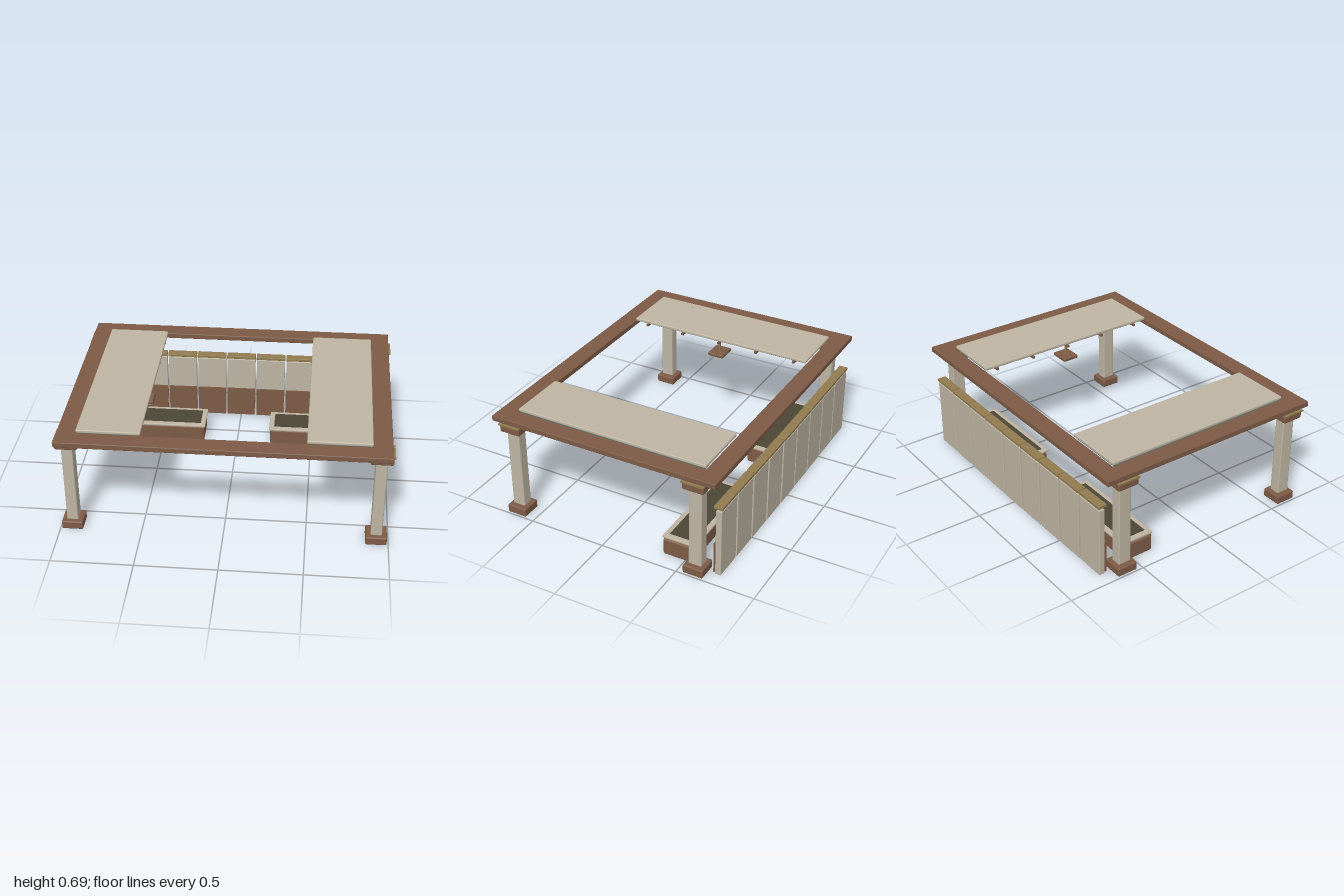
import * as THREE from 'three';
import { RoundedBoxGeometry } from 'three/addons/geometries/RoundedBoxGeometry.js';

function material(name, color) {
  const m = new THREE.MeshStandardMaterial({ color });
  m.name = name;
  return m;
}

export function createModel() {
  const wood = material('brown wood', 0x7d5b46);
  const stone = material('pale stone', 0xbeb5a2);
  const brass = material('dull brass', 0x917b50);
  const soil = material('dark soil', 0x4d4635);
  const teal = material('teal lining', 0x44706a);

  const model = new THREE.Group();
  model.name = 'pergola';

  // Box given by its low and high limits; a bevel rounds the edges
  function block(parent, name, mat, [x0, x1], [y0, y1], [z0, z1], bevel = 0) {
    const w = x1 - x0, h = y1 - y0, d = z1 - z0;
    const geo = bevel ? new RoundedBoxGeometry(w, h, d, 2, bevel) : new THREE.BoxGeometry(w, h, d);
    const mesh = new THREE.Mesh(geo, mat);
    mesh.name = name;
    mesh.position.set((x0 + x1) / 2, (y0 + y1) / 2, (z0 + z1) / 2);
    parent.add(mesh);
    return mesh;
  }
  function group(name) {
    const g = new THREE.Group();
    g.name = name;
    model.add(g);
    return g;
  }
  const span = (c, half) => [c - half, c + half];
  // Mirrors an x range to the right side when s is -1
  const side = (s, a, b) => (s > 0 ? [a, b] : [-b, -a]);

  // Roof frame
  const frame = group('roofFrame');
  block(frame, 'frontBeam', wood, [-0.985, 0.985], [0.645, 0.68], [0.635, 0.75], 0.005);
  block(frame, 'backBeam', wood, [-0.985, 0.985], [0.645, 0.68], [-0.738, -0.623], 0.005);
  for (const s of [1, -1])
    block(frame, 'sideBeam', wood, side(s, 0.87, 0.985), [0.645, 0.68], [-0.735, 0.747], 0.005);

  // Corner columns with foot, capital and brass plate
  for (const s of [1, -1]) {
    for (const z of [0.624, -0.602]) {
      const column = group('column');
      block(column, 'foot', wood, side(s, 0.86, 0.99), [0.005, 0.06], span(z, 0.065), 0.009);
      block(column, 'shaft', stone, side(s, 0.89, 0.96), [0.06, 0.59], span(z, 0.042), 0.008);
      block(column, 'capital', wood, side(s, 0.858, 0.992), [0.59, 0.637], span(z, 0.068), 0.009);
      block(column, 'capPlate', brass, side(s, 0.855, 1), [0.637, 0.646], span(z, 0.072));
    }
  }

  for (const s of [1, -1]) {
    // Roof slab with lining and battens beneath
    const roof = group('roofPanel');
    block(roof, 'slab', stone, side(s, 0.487, 0.87), [0.678, 0.7], [-0.62, 0.637], 0.007);
    block(roof, 'lining', teal, side(s, 0.51, 0.87), [0.669, 0.677], [-0.61, 0.625]);
    for (let i = 0; i < 5; i++)
      block(roof, 'batten', wood, side(s, 0.492, 0.87), [0.655, 0.67], span(-0.53 + i * 0.27, 0.008));

    // Hanging lamp
    const lamp = group('lamp');
    const x = 0.557 * s, z = 0.03;
    const rod = new THREE.Mesh(new THREE.CylinderGeometry(0.008, 0.008, 0.11, 12), brass);
    rod.name = 'rod';
    rod.position.set(x, 0.625, z);
    lamp.add(rod);
    block(lamp, 'shade', wood, span(x, 0.064), [0.553, 0.576], span(z, 0.055), 0.007);
    block(lamp, 'diffuser', stone, span(x, 0.05), [0.546, 0.555], span(z, 0.043));

    // Planter box with rim and soil
    const planter = group('planter');
    block(planter, 'box', wood, side(s, 0.225, 0.892), [0.005, 0.116], [-0.552, -0.354], 0.012);
    block(planter, 'rim', stone, side(s, 0.217, 0.885), [0.115, 0.131], [-0.566, -0.346], 0.005);
    block(planter, 'soil', soil, side(s, 0.25, 0.85), [0.13, 0.136], [-0.533, -0.38]);
  }

  // Back wall of nine separate panels
  const wall = group('backWall');
  for (let i = -4; i <= 4; i++) {
    const x = i * 0.2035;
    const bow = -0.0015 * (4 - Math.abs(i));
    block(wall, 'wallPanel', stone, span(x, 0.0965), [0.005, 0.45], [-0.745 + bow, -0.707 + bow], 0.004);
    block(wall, 'wainscot', wood, span(x, 0.0955), [0.015, 0.222], [-0.71 + bow, -0.696 + bow]);
    block(wall, 'wallCap', brass, span(x, 0.098), [0.461, 0.48], [-0.75 + bow, -0.693 + bow], 0.003);
  }

  return model;
}
